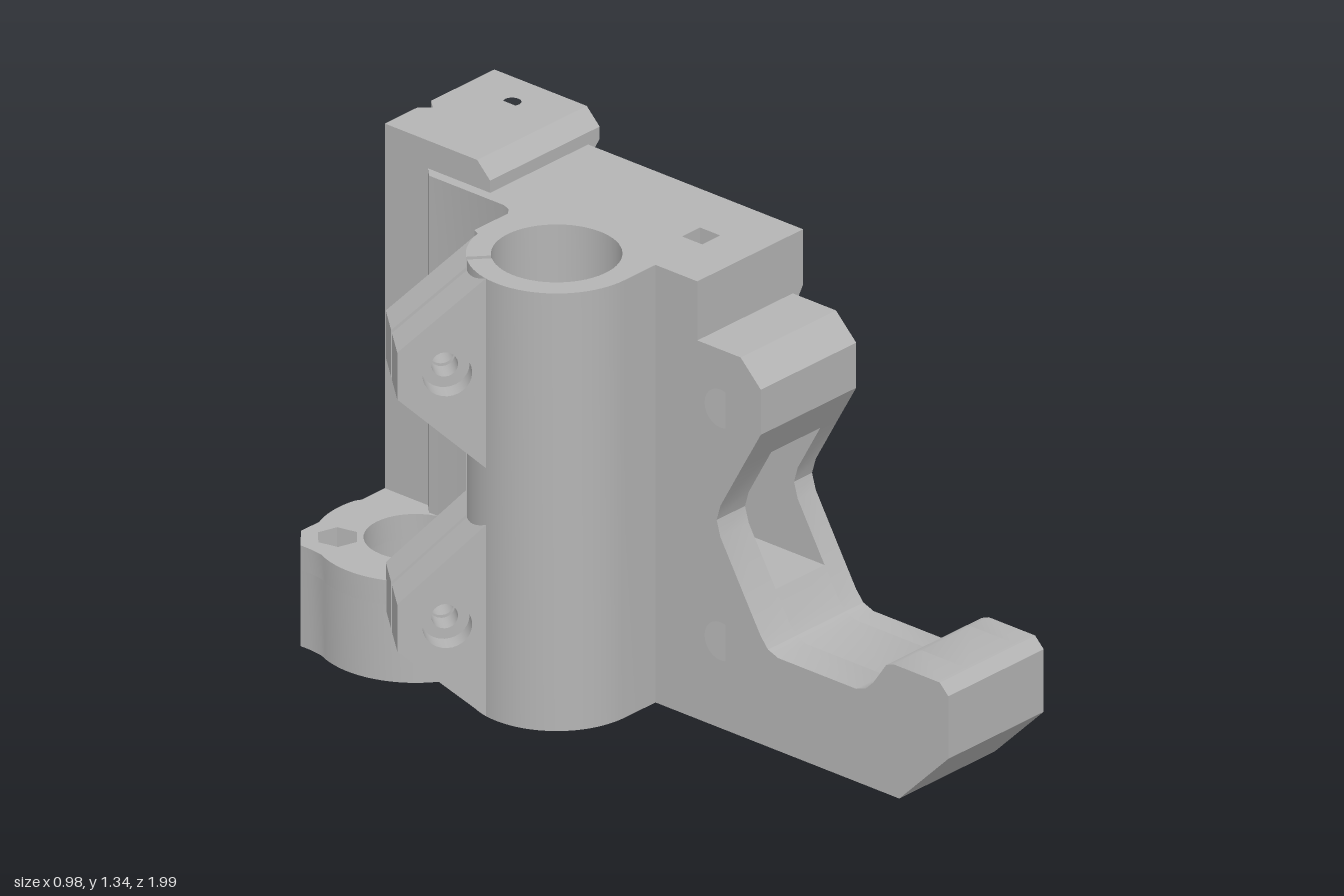
import * as THREE from 'three';
import { toCreasedNormals } from 'three/addons/utils/BufferGeometryUtils.js';

export function createModel() {
  const model = new THREE.Group();
  const grey = new THREE.MeshStandardMaterial({ color: 0xb4b4b4 });
  grey.name = 'grey plastic';

  function add(name, geometry, parent = model) {
    const mesh = new THREE.Mesh(toCreasedNormals(geometry, 0.5), grey);
    mesh.name = name;
    parent.add(mesh);
    return mesh;
  }
  const ring = (x, y, r, n = 28, a = 0) => Array.from({ length: n }, (_, i) =>
    [x + r * Math.cos(a + i * 2 * Math.PI / n), y + r * Math.sin(a + i * 2 * Math.PI / n)]);
  const rect = (x0, y0, x1, y1) => [[x0, y0], [x1, y0], [x1, y1], [x0, y1]];
  const arc = (cx, cy, r, d0, d1, n) => Array.from({ length: n + 1 }, (_, i) => {
    const a = THREE.MathUtils.degToRad(d0 + (d1 - d0) * i / n);
    return [cx + r * Math.cos(a), cy + r * Math.sin(a)];
  });
  function extrude(points, holes, depth) {
    const v = (list) => list.map(([x, y]) => new THREE.Vector2(x, y));
    const shape = new THREE.Shape(v(points));
    holes.forEach((h) => shape.holes.push(new THREE.Path(v(h))));
    return new THREE.ExtrudeGeometry(shape, { depth, bevelEnabled: false });
  }
  const flip = (list, k) => list.map((p) => (k ? [p[0], -p[1]] : [-p[0], p[1]]));
  // Outlines in (x, z) raised along y, in (z, y) along x, in (x, y) along z
  const alongY = (name, pts, holes, y0, y1) => add(name,
    extrude(flip(pts, 1), holes.map((h) => flip(h, 1)), y1 - y0).rotateX(-Math.PI / 2).translate(0, y0, 0));
  const alongX = (name, pts, holes, x0, x1) => add(name,
    extrude(flip(pts, 0), holes.map((h) => flip(h, 0)), x1 - x0).rotateY(Math.PI / 2).translate(x0, 0, 0));
  const alongZ = (name, pts, holes, z0, z1) => add(name,
    extrude(pts, holes, z1 - z0).translate(0, 0, z0));

  // Main block: rear with rod holes, hollow middle, front wall with window
  const slot = [[0.14, 0.36], [0.2, 0.29], [0.28, 0.29], [0.34, 0.36],
    [0.34, 0.85], [0.28, 0.92], [0.2, 0.92], [0.14, 0.85]];
  alongZ('rearBlock', rect(0.1, 0, 0.4, 1.26),
    [slot, ring(0.238, 0.14, 0.09), ring(0.238, 1.125, 0.09)], -0.98, -0.5);
  alongZ('middleBlock', rect(0.1, 0.06, 0.4, 1.2), [slot], -0.5, -0.02);
  alongZ('frontWall', rect(0.03, 0.06, 0.4, 1.2), [rect(0.14, 0.39, 0.33, 0.78)], -0.02, 0.13);
  const lid = [[0.1, -0.5], [0.1, -0.02], [0.03, -0.02], [0.03, 0.13], [0.4, 0.13], [0.4, -0.5]];
  const pocket = rect(0.2, -0.075, 0.27, -0.005);
  alongY('topLid', lid, [pocket], 1.2, 1.26);
  alongY('bottomLid', lid, [pocket], 0, 0.06);

  // Side skin with a sloping edge around the arm
  const inner = [[-0.98, 0], [0.83, 0], [0.94, 0.11], [0.15, 0.11], [0.07, 0.18],
    [0.07, 0.98], [0.13, 1.04], [0.13, 1.26], [-0.98, 1.26]];
  const outer = [[-0.98, 0], [0.78, 0], [0.84, 0.06], [0.13, 0.06], [0.03, 0.17],
    [0.03, 1.0], [0.13, 1.1], [0.13, 1.26], [-0.98, 1.26]];
  const pos = [];
  const put = (x, p) => pos.push(x, p[1], p[0]);
  inner.forEach((a, i) => {
    const j = (i + 1) % inner.length;
    [[0.4, a], [0.44, outer[j]], [0.4, inner[j]], [0.4, a], [0.44, outer[i]], [0.44, outer[j]]]
      .forEach(([x, p]) => put(x, p));
  });
  const flat = outer.map(([z, y]) => new THREE.Vector2(-z, y));
  THREE.ShapeUtils.triangulateShape(flat, []).forEach((f) => {
    const [a, b, c] = f.map((i) => flat[i]);
    const cross = (b.x - a.x) * (c.y - a.y) - (b.y - a.y) * (c.x - a.x);
    (cross > 0 ? f : [f[0], f[2], f[1]]).forEach((i) => put(0.44, outer[i]));
  });
  // Rim quads follow the outline, so turn them to face outwards
  for (let i = 0; i < inner.length * 18; i += 9) {
    for (let k = 0; k < 3; k++) {
      [pos[i + 3 + k], pos[i + 6 + k]] = [pos[i + 6 + k], pos[i + 3 + k]];
    }
  }
  const skin = new THREE.BufferGeometry();
  skin.setAttribute('position', new THREE.Float32BufferAttribute(pos, 3));
  // Reverse the rim if its first face (the underside) points up
  const rimUp = new THREE.Triangle(...[0, 3, 6].map((i) => new THREE.Vector3(pos[i], pos[i + 1], pos[i + 2])))
    .getNormal(new THREE.Vector3()).y > 0;
  if (rimUp) {
    for (let i = 0; i < inner.length * 18; i += 9) {
      for (let k = 0; k < 3; k++) {
        [pos[i + 3 + k], pos[i + 6 + k]] = [pos[i + 6 + k], pos[i + 3 + k]];
      }
    }
    skin.setAttribute('position', new THREE.Float32BufferAttribute(pos, 3));
  }
  skin.computeVertexNormals();
  add('sideSkin', skin);

  // Front arm: two cheeks, with a window between the lower and upper middle
  const lower = [[0.13, 0], [0.83, 0], [1, 0.17], [1, 0.35], [0.97, 0.38], [0.81, 0.38], [0.785, 0.37],
    [0.74, 0.305], [0.715, 0.28], [0.68, 0.267], [0.41, 0.267], [0.375, 0.28], [0.35, 0.31], [0.303, 0.39]];
  const notch = [[0.21, 0.55], [0.197, 0.595], [0.21, 0.64]];
  const upper = [[0.288, 0.78], [0.35, 0.89], [0.35, 1.02], [0.28, 1.09], [0.13, 1.09]];
  const bolts = (r, n) => [[0.885, 0.25], [0.21, 0.25], [0.21, 0.92]].map(([z, y]) => ring(z, y, r, n));
  const cheek = [...lower, ...notch, ...upper];
  alongX('armRightCheek', cheek, bolts(0.055, 24), 0.03, 0.14);
  alongX('armLeftCheek', cheek, bolts(0.035, 24), 0.33, 0.4);
  const [tip, low, high] = bolts(0.035, 24);
  alongX('armFoot', [...lower, [0.13, 0.39]], [tip, low], 0.14, 0.33);
  alongX('armHead', [[0.13, 0.78], ...upper], [high], 0.14, 0.33);

  // Bearing sleeve with a slit, joined to the block
  const cx = -0.09, cz = -0.25, slit = 221.4;
  const sleeve = [
    ...arc(cx, cz, 0.235, slit - 2, 90, 28), [0.1, -0.015],
    [0.1, -0.98], [0.06, -0.98], [0.06, -0.83], [0.03, -0.8], [0.03, -0.54], [0.02, -0.515], [0, -0.5],
    [-0.13, -0.5], ...arc(cx, cz, 0.235, 258, slit + 2, 8),
    ...arc(cx, cz, 0.17, slit + 2.7, slit + 357.3, 56)];
  alongY('bearingSleeve', sleeve, [], 0, 1.26);

  // Clamp ears on both sides of the slit
  [['lowerClamp', 0], ['upperClamp', 0.725]].forEach(([name, y]) => {
    const clamp = new THREE.Group();
    clamp.name = name;
    clamp.position.set(cx, y, cz);
    clamp.rotation.y = -THREE.MathUtils.degToRad(slit);
    model.add(clamp);
    const bottom = y ? -0.01 : 0, top = y ? 0.535 : 0.55;
    const ear = [[0.18, bottom], [0.2, bottom], [0.43, 0.2], [0.43, 0.335], [0.2, top], [0.18, top]];
    [[-0.125, -0.07, 0.065, 28], [-0.07, -0.008, 0.035, 20],
      [0.008, 0.08, 0.035, 20], [0.08, 0.125, 0.06, 6]].forEach(([z0, z1, r, n]) =>
      add('clampEar', extrude(ear, [ring(0.3, 0.267, r, n)], z1 - z0).translate(0, 0, z0), clamp));
  });

  // Low rod cup behind the sleeve, with a nut boss
  const cup = [[0.1, -0.98], [-0.03, -0.98], ...arc(-0.1, -0.73, 0.265, 282, 252, 8),
    [-0.2, -0.975], [-0.27, -0.975], [-0.335, -0.92], [-0.335, -0.88],
    ...arc(-0.1, -0.73, 0.265, 205, 90, 24), [0.1, -0.465]];
  const bore = ring(-0.1, -0.73, 0.135, 40);
  alongY('rodCupBase', cup, [bore, ring(-0.235, -0.88, 0.032, 20)], 0, 0.22);
  alongY('rodCupRim', cup, [bore, ring(-0.235, -0.88, 0.058, 6, 0.3)], 0.22, 0.29);
  alongX('cupGusset', [[-0.48, 0.29], [-0.59, 0.29], [-0.5, 0.45], [-0.48, 0.45]], [], -0.18, 0.04);

  // Top plate with screw holes, chamfered front and side overhang
  alongY('topPlate', [[0.06, -0.66], [0.06, -0.98], [0.185, -0.98], [0.212, -0.95], [0.24, -0.98],
    [0.485, -0.98], [0.485, -0.66]], [ring(0.17, -0.82, 0.024, 20), ring(0.375, -0.82, 0.024, 20)], 1.26, 1.34);
  alongX('topPlateFront', [[-0.66, 1.26], [-0.615, 1.26], [-0.615, 1.295], [-0.66, 1.34]], [], 0.06, 0.485);
  alongZ('plateOverhang', [[0.43, 1.205], [0.44, 1.215], [0.485, 1.26], [0.43, 1.26]], [], -0.98, -0.615);

  return model;
}
